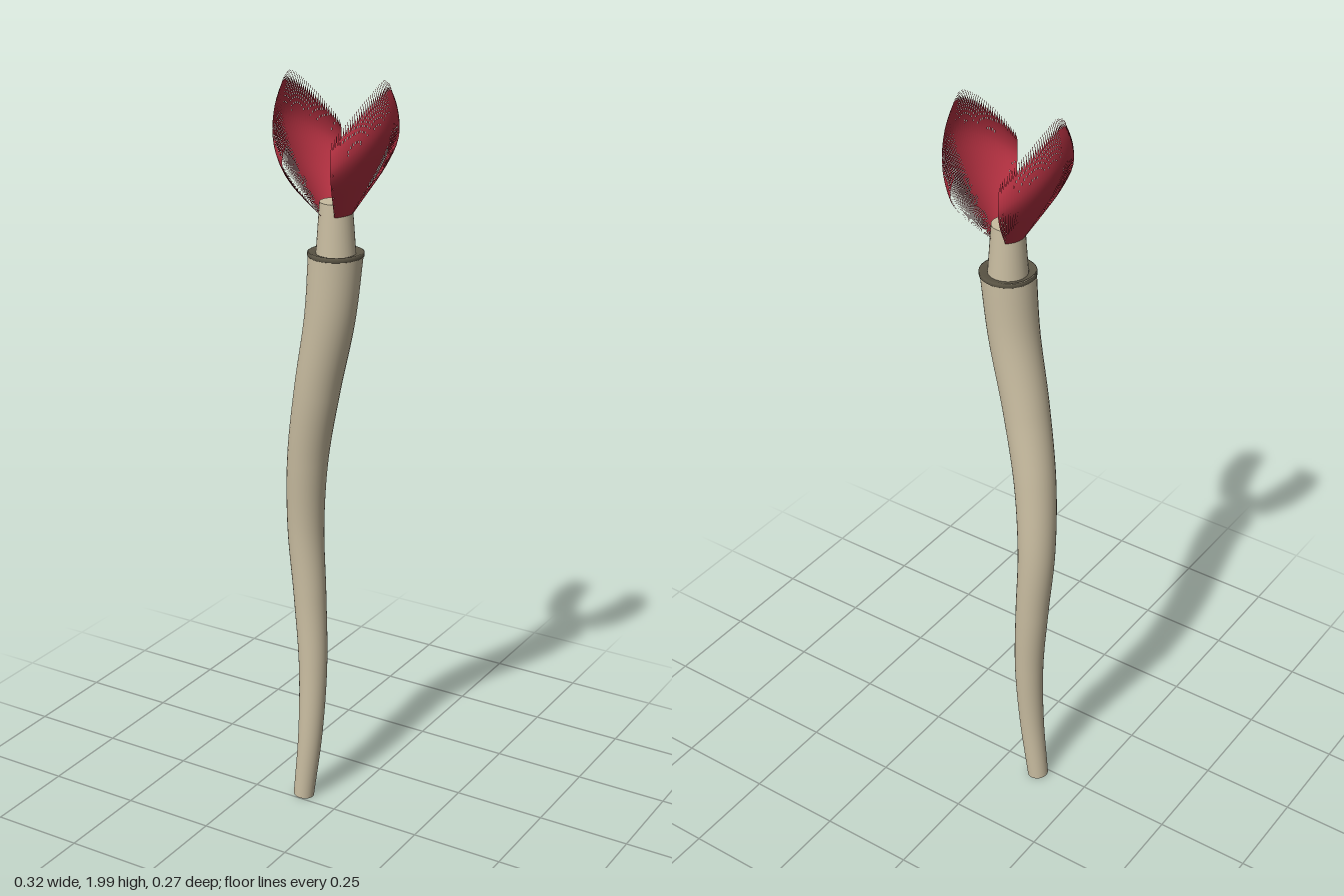
import * as THREE from 'three';

const CX = 0.005; // axis of the crown

export function createModel() {
  const group = new THREE.Group();
  const beige = new THREE.MeshStandardMaterial({ color: 0xc8bca0 });
  beige.name = 'beige tube';
  const dark = new THREE.MeshStandardMaterial({ color: 0x5c5646 });
  dark.name = 'dark rim';
  const red = new THREE.MeshStandardMaterial({ color: 0xb23040, side: THREE.DoubleSide });
  red.name = 'red plume';

  const add = (name, geometry, material, x = 0, y = 0, z = 0) => {
    const mesh = new THREE.Mesh(geometry, material);
    mesh.name = name;
    mesh.position.set(x, y, z);
    group.add(mesh);
    return mesh;
  };

  // Bent tube, widening evenly towards the top
  const curve = new THREE.CatmullRomCurve3([
    [-0.112, 0.005, -0.025], [-0.093, 0.2, -0.03], [-0.09, 0.4, -0.04],
    [-0.102, 0.6, -0.046], [-0.112, 0.8, -0.043], [-0.095, 1.0, -0.027],
    [-0.055, 1.2, -0.009], [-0.012, 1.4, 0], [CX, 1.565, 0],
  ].map((p) => new THREE.Vector3(...p)));
  const steps = 80, sides = 32, rLow = 0.028, rTop = 0.068;
  const tube = new THREE.TubeGeometry(curve, steps, 1, sides, false);
  const pos = tube.attributes.position, v = new THREE.Vector3();
  for (let i = 0; i <= steps; i++) {
    const c = curve.getPointAt(i / steps);
    const r = rLow + (rTop - rLow) * (i / steps);
    for (let j = 0; j <= sides; j++) {
      const k = i * (sides + 1) + j;
      v.fromBufferAttribute(pos, k).sub(c).multiplyScalar(r).add(c);
      pos.setXYZ(k, v.x, v.y, v.z);
    }
  }
  add('tube', tube, beige);

  // Closed foot of the tube
  const foot = add('tubeFoot', new THREE.CircleGeometry(rLow, sides), beige);
  foot.position.copy(curve.getPointAt(0));
  foot.quaternion.setFromUnitVectors(
    new THREE.Vector3(0, 0, 1), curve.getTangentAt(0).negate());

  // Rim at the tube mouth
  const rim = [[0.068, -0.006], [0.07, -0.004], [0.07, 0.004], [0.066, 0.006], [0.045, 0]];
  add('tubeRim', new THREE.LatheGeometry(
    rim.map(([x, y]) => new THREE.Vector2(x, y)), sides), dark, CX, 1.563, 0);

  // Neck rising out of the tube
  add('neck', new THREE.CylinderGeometry(0.04, 0.051, 0.15, sides), beige, CX, 1.617, 0);

  // Two fans of curved filaments, longest in the middle
  const profile = new THREE.CatmullRomCurve3([
    [0.036, 0], [0.078, 0.07], [0.122, 0.15], [0.149, 0.225], [0.147, 0.285], [0.13, 0.34],
  ].map(([r, y]) => new THREE.Vector3(r, y, 0)));
  const count = 56, rows = 20, spread = 1.12;
  const fan = () => {
    const verts = [], index = [];
    for (let f = 0; f < count; f++) {
      const base = verts.length / 3;
      const mid = ((f + 0.5) / count) * 2 - 1;
      const height = 1 - 0.4 * Math.abs(mid) ** 1.5;
      for (let i = 0; i <= rows; i++) {
        const t = i / rows;
        const p = profile.getPoint(t);
        // Filaments touch each other and narrow only at the tip
        const half = (t > 0.94 ? 0.25 : 1) / count;
        for (const s of [-1, 1]) {
          const a = (mid + s * half) * spread;
          verts.push(p.x * Math.cos(a), p.y * height, p.x * Math.sin(a));
        }
        if (i < rows) {
          const q = base + i * 2;
          index.push(q, q + 2, q + 1, q + 1, q + 2, q + 3);
        }
      }
    }
    const g = new THREE.BufferGeometry();
    g.setAttribute('position', new THREE.Float32BufferAttribute(verts, 3));
    g.setIndex(index);
    g.computeVertexNormals();
    return g;
  };
  const fanGeometry = fan();
  add('leftPlume', fanGeometry, red, CX, 1.655, 0);
  add('rightPlume', fanGeometry, red, CX, 1.655, 0).rotation.y = Math.PI;

  return group;
}
